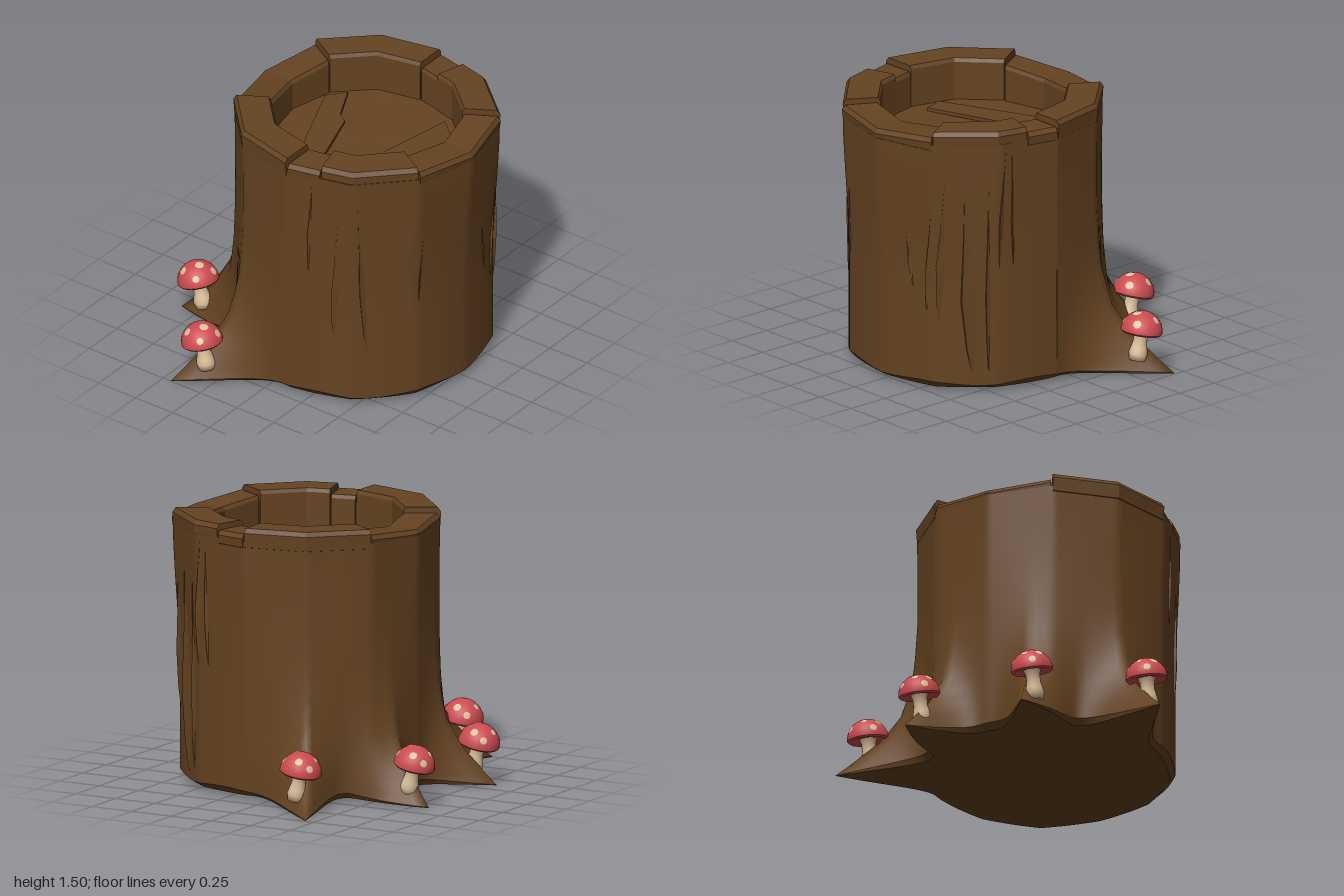
import * as THREE from 'three';

const CZ = 0.13; // trunk axis offset
const RAD = Math.PI / 180;
// Outline radii of the twelve-sided stump, every 30 degrees from +x towards +z
const OUTLINE = [0.68, 0.70, 0.73, 0.715, 0.73, 0.73, 0.72, 0.73, 0.72, 0.70, 0.71, 0.70];
// Root flare against height: [y, share]
const FLARE = [[0, 1], [0.06, 0.84], [0.12, 0.69], [0.2, 0.48], [0.35, 0.22], [0.55, 0.08], [0.8, 0.02], [1, 0], [2, 0]];
// Roots: direction, reach, [width, sharpness] on the lower and higher angle sides
const ROOTS = [
  { a: 330, reach: 0.45, lo: [20, 2.5], hi: [30, 2.5] },
  { a: 290, reach: 0.35, lo: [20, 3], hi: [20, 1.3] },
  { a: 250, reach: 0.35, lo: [20, 1.3], hi: [20, 3] },
  { a: 210, reach: 0.43, lo: [30, 2.5], hi: [20, 2.5] },
];

const at = (deg, r, y) => [r * Math.cos(deg * RAD), y, CZ + r * Math.sin(deg * RAD)];

// Straight-sided outline radius at any angle
function outline(deg, round = 0) {
  const d = ((deg % 360) + 360) % 360;
  const i = Math.floor(d / 30), t = d - i * 30;
  const a = OUTLINE[i], b = OUTLINE[(i + 1) % 12];
  const chord = a * b * 0.5 / (a * Math.sin(t * RAD) + b * Math.sin((30 - t) * RAD));
  return THREE.MathUtils.lerp(chord, a + (b - a) * t / 30, round);
}

function flare(y) {
  const i = FLARE.findIndex(f => f[0] > y);
  const [y0, f0] = FLARE[i - 1], [y1, f1] = FLARE[i];
  return f0 + (f1 - f0) * (y - y0) / (y1 - y0);
}

function rootShape(root, deg, y) {
  const d = deg - root.a;
  const [w, p] = d < 0 ? root.lo : root.hi;
  return Math.pow(Math.max(0, 1 - Math.abs(d) / (w * (1 + 0.4 * y))), p);
}
const rootness = (deg) => Math.max(...ROOTS.map(r => rootShape(r, deg, 0)));

// Bark radius: outline, slight waist at the front, roots
function barkRadius(deg, y) {
  const low = 1 - THREE.MathUtils.smoothstep(y, 0.6, 1.44);
  const front = Math.max(0, Math.sin(deg * RAD));
  let r = outline(deg, 0.5 * low) * (1 - low * (0.01 + 0.05 * front));
  for (const root of ROOTS) r += root.reach * flare(y) * rootShape(root, deg, y);
  return r;
}

// Skin over rows of points; rows run outward or upward, columns by angle
function loft(rows, flat = false) {
  const n = rows[0].length, index = [];
  for (let j = 0; j < rows.length - 1; j++)
    for (let i = 0; i < n - 1; i++) {
      const a = j * n + i, b = a + 1, c = a + n, d = c + 1;
      index.push(a, c, b, b, c, d);
    }
  return finish(rows.flat(), index, flat);
}

function finish(points, index, flat) {
  let g = new THREE.BufferGeometry();
  g.setAttribute('position', new THREE.Float32BufferAttribute(points.flat(), 3));
  g.setIndex(index);
  if (flat) g = g.toNonIndexed();
  g.computeVertexNormals();
  return g;
}

const ANGLES = Array.from({ length: 145 }, (_, i) => i * 2.5);
const ring = (fn) => ANGLES.map(fn);

// Rim block: a six-point section swept between two angles, with end faces
function rimBlock(a0, a1, heightAt, shift) {
  const steps = Math.max(1, Math.round((a1 - a0) / 15));
  const cols = Array.from({ length: steps + 1 }, (_, k) => {
    const deg = a0 + (a1 - a0) * k / steps;
    const o = outline(deg) + 0.004 + shift, n = outline(deg) * 0.72 + shift, h = heightAt(deg);
    return [[n, 1.24], [o - 0.005, 1.4], [o, h - 0.025], [o - 0.018, h], [n + 0.012, h], [n, h - 0.02]]
      .map(([r, y]) => at(deg, r, y));
  });
  const points = cols.flat(), index = [], last = steps * 6;
  for (let k = 0; k < steps; k++)
    for (let j = 0; j < 6; j++) {
      const a = k * 6 + j, c = k * 6 + (j + 1) % 6;
      index.push(a, c, a + 6, a + 6, c, c + 6);
    }
  for (let j = 1; j < 5; j++) index.push(0, j + 1, j, last, last + j, last + j + 1);
  return finish(points, index, true);
}

// Split in the bark: a sliver with one lifted edge
function barkSplit(deg, y0, y1, width, lean, lift) {
  const rows = [0, 0.15, 0.4, 0.7, 1].map((t, k) => {
    const y = y0 + (y1 - y0) * t, w = width * [0, 0.6, 1, 0.45, 0][k];
    const mid = deg + lean * t;
    return [[-w / 2, -0.004], [w * 0.4, lift * (w / width)], [w / 2, -0.004]]
      .map(([d, e]) => at(mid + d, barkRadius(mid + d, y) + e, y));
  });
  return loft(rows, true);
}

export function createModel() {
  const model = new THREE.Group();
  const mat = (name, color, side = THREE.FrontSide) => {
    const m = new THREE.MeshStandardMaterial({ color, side });
    m.name = name;
    return m;
  };
  const bark = mat('bark brown', 0x654321, THREE.DoubleSide);
  const red = mat('cap red', 0xcc4b50);
  const cream = mat('stem cream', 0xdcc19c);
  const add = (parent, name, geometry, material) => {
    const m = new THREE.Mesh(geometry, material);
    m.name = name;
    parent.add(m);
    return m;
  };

  // Trunk wall with flaring roots
  const footY = (d) => (1 - rootness(d)) * (0.045 + 0.008 * Math.sin(d * 7 * RAD)) + 0.003;
  const heights = [0.06, 0.12, 0.2, 0.28, 0.36, 0.46, 0.58, 0.72, 0.9, 1.1, 1.3, 1.43];
  add(model, 'trunk', loft([
    ring(d => at(d, barkRadius(d, 0), footY(d))),
    ...heights.map(y => ring(d => at(d, barkRadius(d, y), y))),
  ]), bark);

  // Underside with a narrow bevel
  const under = (d, k) => at(d, (barkRadius(d, 0) - 0.03 * (1 - rootness(d))) * k, 0.02 * (1 - rootness(d) * k));
  add(model, 'underside', loft([ring(d => at(d, 0, 0.02)), ring(d => under(d, 0.5)), ring(d => under(d, 1))]), bark);
  add(model, 'bottomBevel', loft([ring(d => under(d, 1)), ring(d => at(d, barkRadius(d, 0), footY(d)))]), bark);

  // Ledge under the rim, and the sunken floor
  add(model, 'rimLedge', loft([
    ring(d => at(d, outline(d), 1.43)), ring(d => at(d, outline(d) * 0.735, 1.43)), ring(d => at(d, outline(d) * 0.735, 1.25)),
  ], true), bark);
  add(model, 'hollowFloor', loft([
    ring(d => at(d, outline(d) * 0.74, 1.27)),
    ring(d => at(d, outline(d) * 0.4, 1.265 + 0.008 * Math.sin(d * 3 * RAD))),
    ring(d => at(d, 0, 1.27)),
  ]), bark);

  // Split slabs lying on the floor
  [[[-0.46, -0.02], [0.2, -0.3], [0.3, -0.22], [0.1, -0.12], [0.06, -0.06], [-0.42, 0.1]],
    [[-0.4, 0.36], [-0.05, 0.3], [0.38, 0.38], [0.24, 0.54], [-0.24, 0.55]]].forEach((pts) => {
    const shape = new THREE.Shape(pts.map(([x, z]) => new THREE.Vector2(x, -z)));
    const slab = add(model, 'floorSlab', new THREE.ExtrudeGeometry(shape, { depth: 0.02, bevelEnabled: false }), bark);
    slab.rotation.x = -Math.PI / 2;
    slab.position.y = 1.265;
  });

  // Rim blocks, lower at front and back
  const dip = (mid) => (d) => 1.45 + 0.022 * Math.abs(d - mid) / 30;
  const level = (h) => () => h;
  [[0, 16, level(1.472), 0.004], [16, 60, level(1.502), 0], [60, 120, dip(90), 0.003],
    [120, 164, level(1.5), -0.004], [164, 180, level(1.472), 0], [180, 240, level(1.503), 0.004],
    [240, 300, dip(270), -0.002], [300, 360, level(1.505), 0.002]]
    .forEach(([a, b, h, s]) => add(model, 'rimBlock', rimBlock(a + 0.4, b - 0.4, h, s), bark));

  // Splits around the bark: angle, bottom, top, width, lean, lift
  [[42, 0.07, 1.2, 9, 4, 0.025], [58, 0.4, 1.18, 5, -3, 0.02], [64, 0.45, 1.05, 3, -3, 0.014],
    [71, 0.58, 0.88, 2, 4, 0.008], [119, 0.6, 1.03, 1.2, -2, 0.007], [143, 0.32, 1.28, 3.5, 4, 0.018],
    [35, 0.1, 1.2, 3, 0, 0.015], [23, 0.7, 1.38, 2, 1, 0.012], [158, 0.4, 1.15, 4, -2, 0.018],
    [170, 0.82, 1.4, 2, -2, 0.012], [30, 0.7, 1.42, 3, -3, 0.014]]
    .forEach((s) => add(model, 'barkSplit', barkSplit(...s), bark));

  // Mushrooms growing on the roots
  const V = (x, y) => new THREE.Vector2(x, y);
  const capR = 0.115;
  const under2 = new THREE.LatheGeometry([V(0, 0.008), V(0.06, 0.002), V(0.104, -0.01), V(capR, 0)], 24);
  const dome = new THREE.SphereGeometry(capR, 24, 10, 0, Math.PI * 2, 0, Math.PI / 2);
  const stem = new THREE.LatheGeometry([V(0, -0.16), V(0.045, -0.16), V(0.052, -0.125), V(0.046, -0.095), V(0.038, -0.06), V(0.04, -0.02), V(0.05, 0.008)], 16);
  // Spots as tilt from the cap top and turn about it
  const spots = [[25, 95, 0.22], [42, 190, 0.2], [45, 345, 0.19], [38, 255, 0.15], [62, 305, 0.18], [62, 60, 0.2], [64, 130, 0.17], [68, 225, 0.18]];
  const mushroom = (x, y, z, turn, tilt) => {
    const g = new THREE.Group();
    g.name = 'mushroom';
    add(g, 'capUnderside', under2, red);
    add(g, 'cap', dome, red);
    add(g, 'stem', stem, cream);
    for (const [lean, spin, size] of spots) {
      const spot = add(g, 'capSpot', new THREE.SphereGeometry(capR + 0.002, 8, 2, 0, Math.PI * 2, 0, size), cream);
      spot.rotation.set(0, -(spin + turn) * RAD, -lean * RAD, 'YXZ');
    }
    g.position.set(x, y, z);
    g.rotation.x = tilt;
    model.add(g);
  };
  mushroom(0.85, 0.232, -0.328, 0, -0.2);
  mushroom(-0.86, 0.225, -0.34, 15, -0.2);
  mushroom(0.325, 0.218, -0.735, 0, -0.25);
  mushroom(-0.365, 0.218, -0.735, 15, -0.25);

  return model;
}
